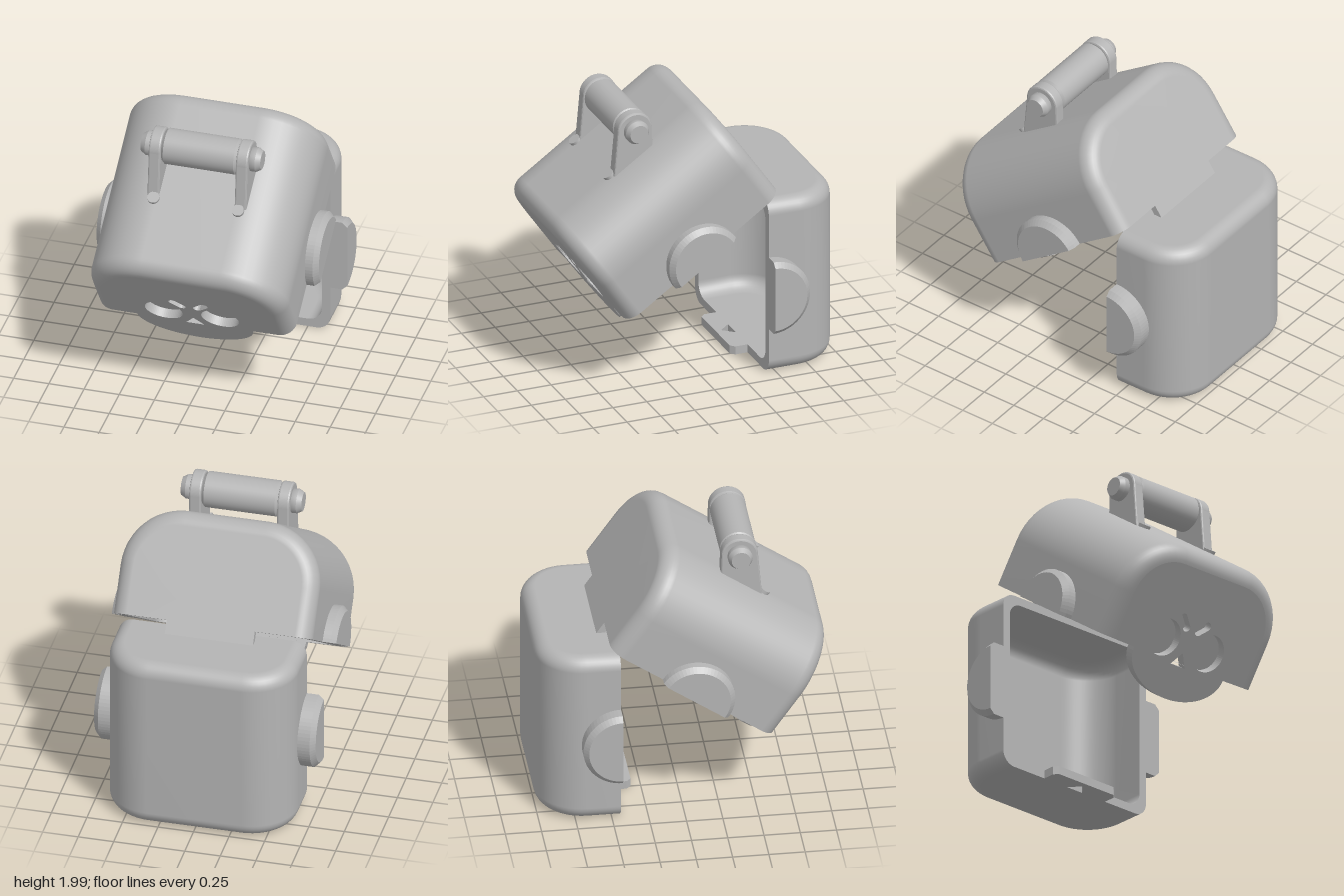
import * as THREE from 'three';
import { ConvexGeometry } from 'three/addons/geometries/ConvexGeometry.js';

// Shell space: x across, -y along the case from the hinge, z into the shell depth, opening at z = 0.
const LID = { W: 0.7, D: 0.76, L: 1.367, R: 0.42, r: 0.11, t: 0.07 };
const BASE = { W: 0.66, D: 0.56, L: 1.29, R: 0.33, r: 0.1, t: 0.06 };

// U-shaped cross-section running from +x to -x
function uProfile(w, d, R) {
  const half = [[w, 0]];
  for (let i = 0; i <= 12; i++) {
    const a = (i / 12) * Math.PI / 2;
    half.push([w - R + R * Math.cos(a), d - R + R * Math.sin(a)]);
  }
  return half.concat(half.slice().reverse().map(([x, z]) => [-x, z]));
}

// Cross-sections along the length, drawn in at both rounded ends
function shellRows({ W, D, L, R, r, t }, inner) {
  const o = inner ? t : 0, rows = [];
  const add = (u, inset) => rows.push(
    uProfile(W - o - inset, D - o - inset, R - o - inset).map(([x, z]) => [x, -u, z]));
  const n = 8;
  for (let i = 0; i <= n; i++) {
    const a = (i / n) * Math.PI / 2;
    add(o + r * (1 - Math.cos(a)), r * (1 - Math.sin(a)));
  }
  for (let i = n; i >= 0; i--) {
    const a = (i / n) * Math.PI / 2;
    add(L - o - r * (1 - Math.cos(a)), r * (1 - Math.sin(a)));
  }
  return rows;
}

function gridGeometry(rows, capStart, capEnd) {
  const pos = rows.flat(2), idx = [], n = rows[0].length, m = rows.length;
  for (let i = 0; i < m - 1; i++) for (let j = 0; j < n - 1; j++) {
    const a = i * n + j, b = a + n;
    idx.push(a, a + 1, b, b, a + 1, b + 1);
  }
  const cap = (row, flip) => {
    const c = pos.length / 3;
    pos.push(0, rows[row][0][1], 0);
    for (let j = 0; j < n - 1; j++) {
      const a = row * n + j;
      if (flip) idx.push(c, a, a + 1); else idx.push(c, a + 1, a);
    }
  };
  if (capStart) cap(0, false);
  if (capEnd) cap(m - 1, true);
  const g = new THREE.BufferGeometry();
  g.setAttribute('position', new THREE.Float32BufferAttribute(pos, 3));
  g.setIndex(idx);
  g.computeVertexNormals();
  return g;
}

export function createModel() {
  const model = new THREE.Group();
  const grey = new THREE.MeshStandardMaterial({ color: 0xb4b4b4, side: THREE.DoubleSide });
  grey.name = 'plain grey';
  const put = (parent, name, geo, x = 0, y = 0, z = 0) => {
    const m = new THREE.Mesh(geo, grey);
    m.name = name;
    m.position.set(x, y, z);
    parent.add(m);
    return m;
  };

  // Hollow shell: outside, inside and the rim joining them
  function shell(name, s, openEnd) {
    const g = new THREE.Group();
    g.name = name;
    const out = shellRows(s, false), inn = shellRows(s, true);
    put(g, name + 'Outside', gridGeometry(out, true, !openEnd));
    put(g, name + 'Inside', gridGeometry(inn, true, !openEnd));
    const rim = rows => {
      const right = rows.map(r => r[0]), left = rows.map(r => r[r.length - 1]).reverse();
      return [...right, ...left, right[0]];
    };
    put(g, name + 'Rim', gridGeometry([rim(out), rim(inn)]));
    model.add(g);
    return g;
  }

  // Half-disc side bosses with a chamfered outer edge
  function ears(parent, s, center, straight, total) {
    for (const side of [-1, 1]) {
      const pts = [];
      for (const [h, r] of [[-0.03, 0.27], [straight, 0.27], [total, 0.235]])
        for (let i = 0; i <= 32; i++) {
          const a = (i / 32) * Math.PI;
          pts.push(new THREE.Vector3(side * (s.W + h), -center + r * Math.cos(a), r * Math.sin(a)));
        }
      put(parent, 'sideBoss', new ConvexGeometry(pts));
    }
  }

  // A flat plate in the x/depth plane, thickened along the length of the shell
  const plate = (shape, t, u) => new THREE.ExtrudeGeometry(shape,
    { depth: t, bevelEnabled: false, curveSegments: 32 }).rotateX(Math.PI / 2).translate(0, -u, 0);
  const polygon = (pts, Type = THREE.Path) => new Type(pts.map(p => new THREE.Vector2(...p)));

  // Base
  const base = shell('base', BASE, false);
  base.position.set(0, 1.3, -0.44);
  base.rotation.y = Math.PI;
  ears(base, BASE, 0.68, 0.085, 0.12);
  const tab = polygon([[-0.28, 0.02], [-0.28, -0.09], [-0.25, -0.12], [0.25, -0.12],
    [0.28, -0.09], [0.28, 0.02]], THREE.Shape);
  tab.holes.push(polygon([[-0.07, 0], [0.07, 0], [0, -0.08]]));
  put(base, 'latchTab', plate(tab, 0.06, BASE.L - 0.06));

  // Lid, swung open
  const lid = shell('lid', LID, true);
  lid.position.set(0, 1.38, -0.51);
  lid.rotation.x = -0.965;
  ears(lid, LID, 0.7, 0.055, 0.09);

  // Lid end wall and curved flap with the face cut in
  const { W, D, L, R, r, t } = LID;
  const outline = uProfile(W - r, D - r, R - r);
  for (let i = 0; i <= 32; i++) {
    const a = Math.PI * (1 + i / 32);
    outline.push([0.41 * Math.cos(a), 0.255 * Math.sin(a) - 0.003]);
  }
  const face = polygon(outline, THREE.Shape);
  face.holes.push(polygon([[-0.065, -0.02], [0.065, -0.02], [0, 0.075]]));
  for (const side of [-1, 1]) {
    const eye = new THREE.Path();
    eye.absarc(side * 0.2, 0.135, 0.133, 0, Math.PI * 2);
    face.holes.push(eye);
    // slanted brow slot with round ends
    const a = [side * 0.055, 0.25], b = [side * 0.11, 0.305], brow = [];
    const dir = Math.atan2(b[1] - a[1], b[0] - a[0]);
    for (let i = 0; i <= 20; i++) {
      const end = i <= 10 ? b : a;
      const ang = dir - Math.PI / 2 + (i <= 10 ? i : i - 1) * Math.PI / 10 + (i > 10 ? 0.0 : 0);
      brow.push([end[0] + 0.03 * Math.cos(ang), end[1] + 0.03 * Math.sin(ang)]);
    }
    face.holes.push(polygon(brow));
    put(lid, 'eyeFloor', new THREE.BoxGeometry(0.27, 0.008, 0.28), side * 0.205, -(L - t), 0.14);
  }
  put(lid, 'faceWall', plate(face, t, L - t));
  put(lid, 'browFloor', new THREE.BoxGeometry(0.32, 0.007, 0.14), 0, -(L - t), 0.28);

  // Hinge strap
  put(lid, 'hingeStrap', new THREE.BoxGeometry(0.62, 0.05, 0.16), 0, -0.026, -0.045);

  // Carry handle: bar, pins and two arms
  const handle = new THREE.Group();
  handle.name = 'handle';
  handle.position.set(0, 1.87, 0.42);
  model.add(handle);
  const turned = pts => new THREE.LatheGeometry(pts.map(p => new THREE.Vector2(...p)), 40)
    .toNonIndexed().rotateZ(-Math.PI / 2);
  put(handle, 'handleBar', turned([[0, -0.27], [0.105, -0.27], [0.105, -0.27], [0.125, -0.25],
    [0.125, -0.25], [0.125, 0.25], [0.125, 0.25], [0.105, 0.27], [0.105, 0.27], [0, 0.27]]));
  const arm = new THREE.Shape();
  arm.absarc(0, 0, 0.115, 0, Math.PI);
  arm.lineTo(-0.12, -0.15);
  arm.lineTo(0.15, -0.35);
  arm.closePath();
  for (const side of [-1, 1]) {
    const g = new THREE.ExtrudeGeometry(arm, { depth: 0.06, bevelSize: 0.012, bevelThickness: 0.012,
      bevelSegments: 2, curveSegments: 24 }).translate(0, 0, -0.03).rotateY(-Math.PI / 2);
    put(handle, 'handleArm', g, side * 0.31, 0, 0);
    const pin = turned([[0, 0.3], [0.085, 0.3], [0.085, 0.39], [0.085, 0.39], [0.065, 0.425],
      [0.065, 0.425], [0, 0.425]]);
    if (side < 0) pin.rotateY(Math.PI);
    put(handle, 'handlePin', pin);
    // round foot where the arm meets the lid
    const foot = put(handle, 'armFoot', new THREE.CylinderGeometry(0.042, 0.042, 0.03, 24),
      side * 0.3, -0.325, 0.175);
    foot.rotation.x = 0.606;
  }
  return model;
}
